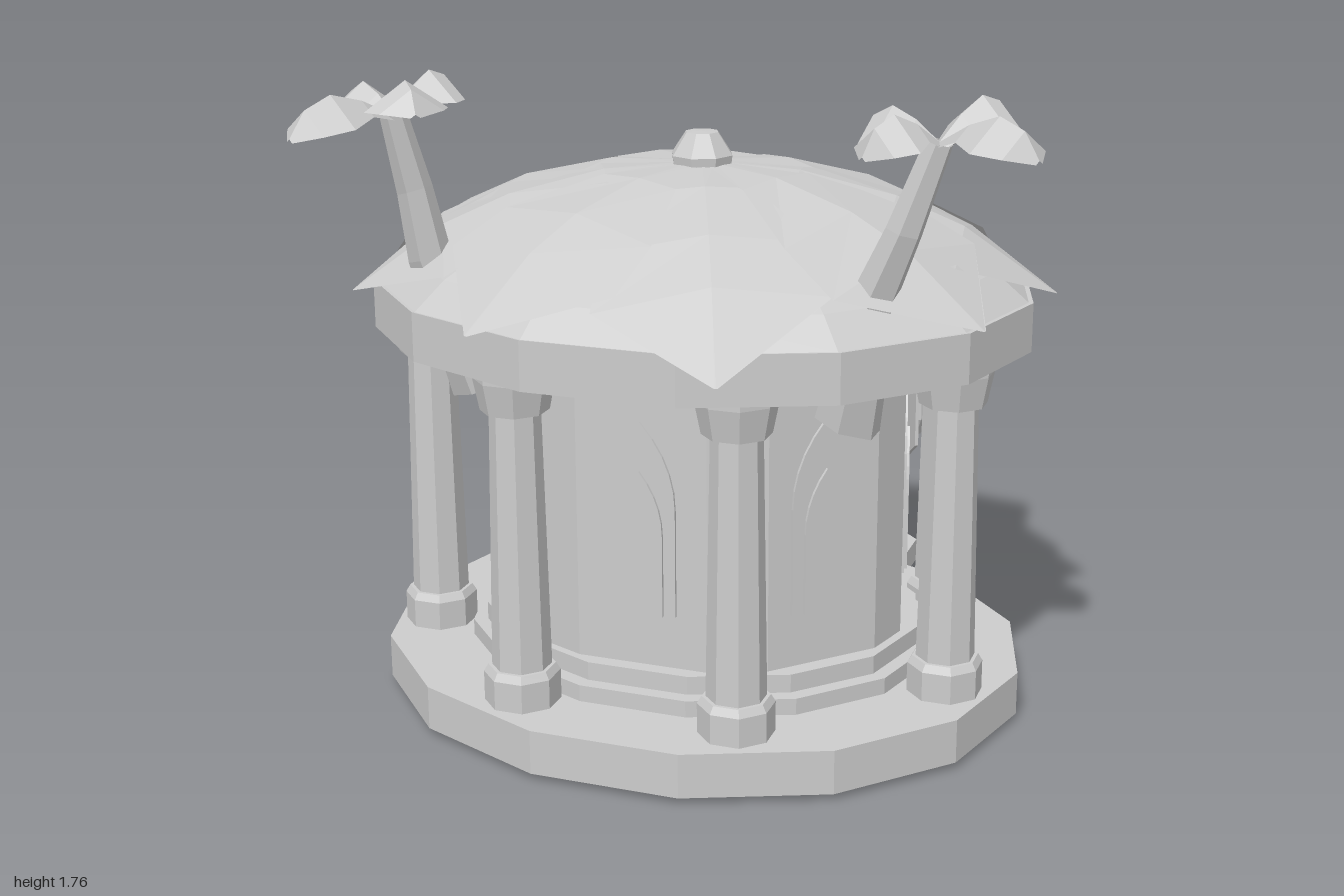
import * as THREE from 'three';

const stone = new THREE.MeshStandardMaterial({ color: 0xcccccc, side: THREE.DoubleSide, flatShading: true });
stone.name = 'pale stone';
const CZ = 0.15; // depth of the building axis
const SIDES = 14;

export function createModel() {
  const root = new THREE.Group();
  root.name = 'pavilion';
  const add = (name, geo, x = 0, y = 0, z = 0, parent = root) => {
    const m = new THREE.Mesh(geo, stone);
    m.name = name;
    m.position.set(x, y, z);
    parent.add(m);
    return m;
  };

  // Oval drum with a flat side to the front
  const drum = (name, rx, rz, y0, y1, z = CZ, open = false) => {
    const g = new THREE.CylinderGeometry(rx, rx, y1 - y0, SIDES, 1, open);
    g.rotateY(Math.PI / SIDES).scale(1, 1, rz / rx);
    add(name, g, 0, (y0 + y1) / 2, z);
  };
  drum('foundation', 0.68, 0.54, 0, 0.138, 0.19);
  drum('platformRim', 0.9, 0.767, 0.02, 0.14, CZ, true); // hollow underneath
  add('platformTop', new THREE.CircleGeometry(0.9, SIDES, Math.PI / 2 + Math.PI / SIDES)
    .rotateX(-Math.PI / 2).scale(1, 1, 0.767 / 0.9), 0, 0.14, CZ);
  drum('lowerPlinth', 0.66, 0.56, 0.14, 0.185);
  drum('upperPlinth', 0.62, 0.52, 0.185, 0.235);
  drum('roofRing', 0.9, 0.767, 1.04, 1.17);

  // Wall: wide window faces alternating with narrow ones, flat door face at the back
  const WX = 0.585, WZ = 0.49, HALF = 0.31;
  const wallPts = [];
  for (let i = -3; i <= 3; i++) {
    for (const s of [-1, 1]) {
      const a = i * Math.PI * 2 / 7 + s * HALF;
      const z = CZ + Math.cos(a) * WZ;
      wallPts.push(z < -0.3 ? new THREE.Vector2(Math.sign(i) * 0.26, 0.31) : new THREE.Vector2(Math.sin(a) * WX, -z));
    }
  }
  add('wall', new THREE.ExtrudeGeometry(new THREE.Shape(wallPts), { depth: 0.805, bevelEnabled: false })
    .rotateX(-Math.PI / 2), 0, 0.235, 0);

  // Columns
  const profile = [[0.001, 0.13], [0.1, 0.13], [0.1, 0.22], [0.088, 0.24], [0.078, 0.24],
    [0.066, 0.93], [0.088, 0.935], [0.105, 1.02], [0.105, 1.04]];
  const columnGeo = new THREE.LatheGeometry(profile.map(p => new THREE.Vector2(...p)), 8);
  columnGeo.rotateY(Math.PI / 8);
  for (const s of [-1, 1]) {
    for (const [x, z] of [[0.295, 0.725], [0.735, 0.31], [0.6, -0.22]]) add('column', columnGeo, s * x, 0, z);
  }

  // Pointed arch plates
  const arch = (w, h, spring, depth) => {
    const s = new THREE.Shape();
    s.moveTo(-w / 2, 0);
    s.lineTo(w / 2, 0);
    s.lineTo(w / 2, spring);
    s.quadraticCurveTo(w / 2, spring + (h - spring) * 0.55, 0, h);
    s.quadraticCurveTo(-w / 2, spring + (h - spring) * 0.55, -w / 2, spring);
    return new THREE.ExtrudeGeometry(s, { depth, bevelEnabled: false, curveSegments: 5 });
  };
  const onWall = (a, out) => [Math.sin(a) * (WX * Math.cos(HALF) + out), CZ + Math.cos(a) * (WZ * Math.cos(HALF) + out)];
  const facing = a => Math.atan2(Math.sin(a) / WX, Math.cos(a) / WZ);
  for (let i = -2; i <= 2; i++) {
    const a = i * Math.PI * 2 / 7;
    const [fx, fz] = onWall(a, -0.001);
    const [px, pz] = onWall(a, 0.007);
    add('windowFrame', arch(0.19, 0.52, 0.29, 0.009), fx, 0.38, fz).rotation.y = facing(a);
    add('windowPane', arch(0.125, 0.39, 0.22, 0.009), px, 0.38, pz).rotation.y = facing(a);
  }

  // Door with knobs
  add('doorFrame', arch(0.49, 0.75, 0.4, 0.009), 0, 0.235, -0.309).rotation.y = Math.PI;
  add('door', arch(0.37, 0.6, 0.34, 0.009), 0, 0.235, -0.317).rotation.y = Math.PI;
  for (const s of [-1, 1]) add('doorKnob', new THREE.SphereGeometry(0.02, 6, 5), s * 0.04, 0.48, -0.35);

  // Rear steps with cut corners
  [[0.36, -1, 0, 0.07], [0.34, -0.87, 0.07, 0.145], [0.32, -0.745, 0.145, 0.22]].forEach(([w, z, y0, y1]) => {
    const c = 0.1, zIn = y0 > 0.1 ? -0.3 : -0.53;
    const s = new THREE.Shape([[-w, zIn], [-w, z + c], [-w + c, z], [w - c, z], [w, z + c], [w, zIn]]
      .map(([x, d]) => new THREE.Vector2(x, -d)));
    const g = new THREE.ExtrudeGeometry(s, { depth: y1 - y0, bevelEnabled: false });
    add('step', g.rotateX(-Math.PI / 2), 0, y0, 0);
  });

  // Lanterns on brackets, with boards beside the door
  const lampProfile = [[0.001, 0.6], [0.03, 0.605], [0.058, 0.66], [0.058, 0.72], [0.035, 0.765], [0.001, 0.78]];
  const lampGeo = new THREE.LatheGeometry(lampProfile.map(p => new THREE.Vector2(...p)), 8);
  for (const s of [-1, 1]) {
    add('lantern', lampGeo, s * 0.455, 0, -0.39);
    const path = new THREE.CatmullRomCurve3([[0.4, 0.78, -0.19], [0.43, 0.8, -0.3], [0.455, 0.835, -0.35], [0.455, 0.77, -0.39]]
      .map(([x, y, z]) => new THREE.Vector3(s * x, y, z)));
    add('lanternBracket', new THREE.TubeGeometry(path, 8, 0.014, 5));
    add('doorBoard', new THREE.BoxGeometry(0.06, 0.4, 0.03), s * 0.34, 0.61, -0.245);
  }

  // Pennant on the left wall
  const pennant = new THREE.Shape([[-0.1, 0.92], [-0.1, 0.7], [0.01, 0.63], [0.1, 0.69], [0.1, 0.92]]
    .map(p => new THREE.Vector2(...p)));
  const [bx, bz] = onWall(2.07, 0.03);
  add('pennant', new THREE.ExtrudeGeometry(pennant, { depth: 0.009, bevelEnabled: false }), bx, 0, bz).rotation.y = facing(2.0);

  // Domed roof under overlapping leaves
  const domeY = (x, z) => 1.48 - 0.355 * Math.min(1, Math.pow(Math.hypot(x, z / 0.86), 2.3));
  const domePts = [0.8, 0.65, 0.5, 0.25, 0.001].map(r => new THREE.Vector2(r, domeY(r, 0) - 0.025));
  domePts.unshift(new THREE.Vector2(0.89, 1.168));
  add('roofDome', new THREE.LatheGeometry(domePts, SIDES).rotateY(Math.PI / SIDES).scale(1, 1, 0.86), 0, 0, CZ);

  const strip = (rows) => { // surface through equal rows of points
    const n = rows[0].length, idx = [];
    for (let i = 0; i < rows.length - 1; i++) {
      for (let j = 0; j < n - 1; j++) {
        const a = i * n + j;
        idx.push(a, a + n, a + 1, a + 1, a + n, a + n + 1);
      }
    }
    const g = new THREE.BufferGeometry();
    g.setAttribute('position', new THREE.Float32BufferAttribute(rows.flat(2), 3));
    g.setIndex(idx);
    const flat = g.toNonIndexed();
    flat.computeVertexNormals();
    return flat;
  };
  const tips = [[-1, -0.02], [-0.65, -0.47], [0.01, -0.71], [0.64, -0.57], [0.935, 0.01],
    [0.85, 0.5], [0.33, 0.98], [-0.33, 0.92], [-0.83, 0.56]];
  tips.forEach(([tx, tz], i) => {
    const dz = tz - CZ, len = Math.hypot(tx, dz), ux = tx / len, uz = dz / len;
    const lift = (i % 2) * 0.012;
    const rows = [[0.05, 0.03], [0.28, 0.13], [0.55, 0.26], [0.74, 0.29], [1, 0.004]].map(([t, w]) =>
      [-1, 0, 1].map(k => {
        const x = ux * t * len + uz * w * k, z = uz * t * len - ux * w * k;
        const ridge = k === 0 && t < 1 ? 0.015 * t : 0;
        return [x, domeY(x, z) + lift * t + ridge, z];
      }));
    add('roofLeaf', strip(rows), 0, 0, CZ);
  });

  // Finial
  const finial = [[0.08, 1.46], [0.085, 1.5], [0.075, 1.515], [0.045, 1.56], [0.001, 1.562]];
  add('finial', new THREE.LatheGeometry(finial.map(p => new THREE.Vector2(...p)), 8), 0, 0, 0.145);

  // Bent palms growing through the roof edge
  const palm = (name, path, leaves) => {
    const group = new THREE.Group();
    group.name = name;
    root.add(group);
    const radii = [0.085, 0.055, 0.045, 0.034];
    const rows = path.map(([x, y, z], i) => Array.from({ length: 7 }, (_, j) => {
      const a = j * Math.PI / 3;
      return [x + Math.sin(a) * radii[i], y + Math.sin(a) * radii[i] * -Math.sign(x) * 0.3, z + Math.cos(a) * radii[i]];
    }));
    add('trunk', strip(rows), 0, 0, 0, group);
    const [cx, cy, cz] = path[3];
    leaves.forEach(([x, z, h]) => { // each leaf: narrow stem, domed middle, drooping tip
      const dx = x - cx, dz = z - cz, l = Math.hypot(dx, dz), ux = dx / l, uz = dz / l;
      const leafRows = [[0, 0.02, 0], [0.3, 0.05, 0.045], [0.6, 0.105, 0.07], [0.85, 0.08, 0.04], [1, 0.012, -0.025]].map(([t, w, r]) =>
        [-1, 0, 1].map(k => [cx + dx * t + uz * w * k, cy + h * t + r - Math.abs(k) * w * 0.7, cz + dz * t - ux * w * k]));
      add('palmLeaf', strip(leafRows), 0, 0, 0, group);
    });
  };
  palm('palmRight', [[-0.5, 0.9, 0.465], [-0.595, 1.27, 0.57], [-0.615, 1.45, 0.6], [-0.64, 1.65, 0.65]],
    [[-0.83, 0.55, 0], [-0.56, 0.47, 0.05], [-0.78, 0.92, 0], [-0.49, 0.82, 0.06]]);
  palm('palmLeft', [[0.5, 0.9, 0.465], [0.59, 1.27, 0.55], [0.66, 1.43, 0.57], [0.74, 1.65, 0.57]],
    [[0.87, 0.41, 0.05], [1.0, 0.7, 0.02], [0.6, 0.74, 0.01], [0.54, 0.53, 0.01]]);
  return root;
}
